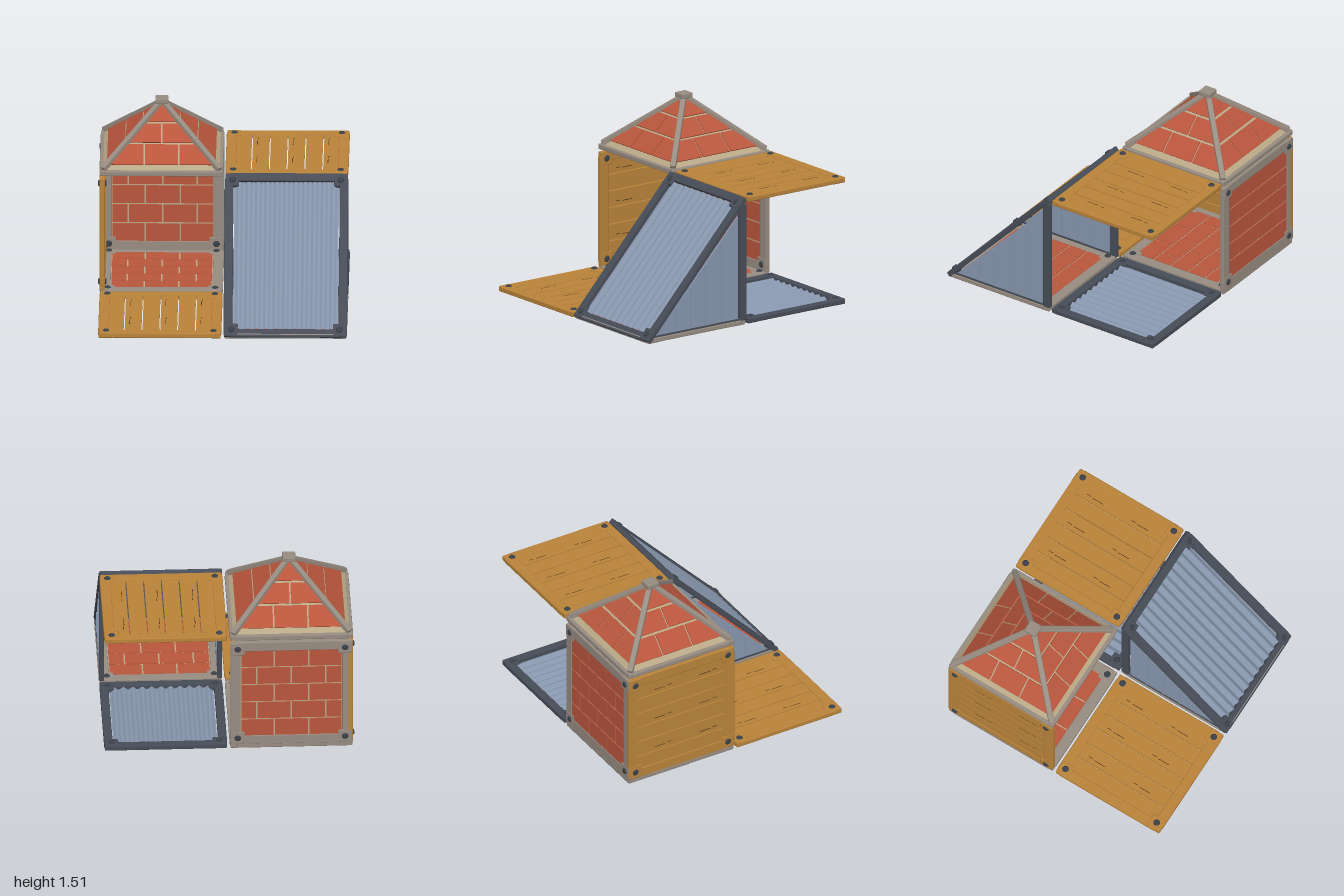
import * as THREE from 'three';
import { RoundedBoxGeometry } from 'three/addons/geometries/RoundedBoxGeometry.js';

const mat = (name, color, side = THREE.FrontSide) => {
  const m = new THREE.MeshStandardMaterial({ color, side });
  m.name = name;
  return m;
};

export function createModel() {
  const M = {
    wood: mat('wood', 0xb9833a),
    grain: mat('wood grain', 0x4a3218),
    stone: mat('stone frame', 0x978c81),
    mortar: mat('mortar', 0xb9a886),
    brick: mat('brick', 0xb9563d),
    frame: mat('dark metal frame', 0x464c57),
    sheet: mat('metal sheet', 0x8796ad, THREE.DoubleSide),
    bolt: mat('bolt', 0x3a4049),
  };
  const T = 0.045; // panel thickness

  const add = (parent, name, geo, material, x = 0, y = 0, z = 0) => {
    const m = new THREE.Mesh(geo, material);
    m.name = name;
    m.position.set(x, y, z);
    parent.add(m);
    return m;
  };
  const box = (parent, name, material, w, h, d, x, y, z) =>
    add(parent, name, new THREE.BoxGeometry(w, h, d), material, x, y, z);
  const soft = (parent, name, material, w, h, d, x, y, z) =>
    add(parent, name, new RoundedBoxGeometry(w, h, d, 1, 0.008), material, x, y, z);
  const newGroup = (name) => {
    const g = new THREE.Group();
    g.name = name;
    return g;
  };

  // Border of four rails with corner plates and bolts, lying in the XY plane
  const boltGeo = new THREE.CylinderGeometry(0.018, 0.028, T + 0.024, 8).rotateX(Math.PI / 2);
  boltGeo.scale(1, 1, 1);
  function border(g, material, w, h, rail, plate) {
    for (const s of [-1, 1]) {
      soft(g, 'rail', material, w - 0.09, rail, T - 0.004, 0, s * (h - rail) / 2, 0);
      soft(g, 'sideRail', material, rail, h - 0.09, T - 0.006, s * (w - rail) / 2, 0, 0);
      for (const t of [-1, 1]) {
        soft(g, 'cornerPlate', material, plate, plate, T, s * (w - plate - 0.008) / 2, t * (h - plate - 0.008) / 2, 0);
        for (const side of [-1, 1]) {
          const b = add(g, 'bolt', new THREE.CylinderGeometry(0.019, 0.029, 0.012, 10), M.bolt,
            s * (w / 2 - 0.062), t * (h / 2 - 0.062), side * (T / 2 + 0.004));
          b.rotation.x = side * Math.PI / 2;
        }
      }
    }
  }

  // Planks along Y inside a wooden border
  function woodPanel(name, w, h) {
    const g = newGroup(name);
    border(g, M.wood, w, h, 0.085, 0.115);
    const n = 6, pitch = (w - 0.13) / n;
    for (let i = 0; i < n; i++) {
      const x = (i - (n - 1) / 2) * pitch;
      box(g, 'plank', M.wood, pitch - 0.009, h - 0.1, 0.026, x, 0, 0);
      if (i % 2 === 0) continue;
      for (const y of [0.22, -0.2]) {
        box(g, 'grainMark', M.grain, 0.005, 0.1, 0.0275, x - 0.03, y, 0);
        box(g, 'grainMark', M.grain, 0.005, 0.04, 0.0275, x - 0.024, y + 0.09, 0);
      }
    }
    return g;
  }

  // Staggered bricks inside a stone border
  function brickPanel(name, w, h, twoSided) {
    const g = newGroup(name);
    border(g, M.stone, w, h, 0.085, 0.115);
    box(g, 'mortar', M.mortar, w - 0.1, h - 0.1, 0.018, 0, 0, 0);
    if (!twoSided) box(g, 'underside', M.mortar, w - 0.05, h - 0.05, 0.008, 0, 0, -0.02);
    const W = w - 0.17, H = h - 0.15, rows = 5, rh = H / rows, pitch = 0.275;
    for (let r = 0; r < rows; r++) {
      const cuts = (r % 2 ? [-1, 0, 1] : [-0.5, 0.5]).map((c) => c * pitch);
      const edges = [-W / 2, ...cuts, W / 2];
      for (let i = 0; i < edges.length - 1; i++) {
        const bw = edges[i + 1] - edges[i] - 0.012;
        const x = (edges[i] + edges[i + 1]) / 2, y = H / 2 - (r + 0.5) * rh;
        const d = twoSided ? 0.032 : 0.016;
        box(g, 'brick', M.brick, bw, rh - 0.012, d, x, y, twoSided ? 0 : 0.008);
      }
    }
    return g;
  }

  // Corrugated sheet with ridges along Y, inside a dark metal border
  function metalPanel(name, w, h) {
    const g = newGroup(name);
    border(g, M.frame, w, h, 0.07, 0.11);
    const sw = w - 0.15, geo = new THREE.PlaneGeometry(sw, h - 0.15, 132, 1);
    const p = geo.attributes.position;
    for (let i = 0; i < p.count; i++) {
      p.setZ(i, 0.011 * Math.cos((p.getX(i) / 0.075) * Math.PI * 2));
    }
    geo.computeVertexNormals();
    add(g, 'corrugatedSheet', geo, M.sheet);
    return g;
  }

  // Triangular sheet wall: local X runs from the post to the low end
  function triangleWall() {
    const g = newGroup('triangleWall');
    soft(g, 'post', M.frame, 0.065, 0.96, 0.04, 0.038, 0.52, 0);
    box(g, 'sill', M.frame, 0.86, 0.014, 0.03, 0.5, 0.053, 0);
    const s = new THREE.Shape([[0.085, 0.058], [0.9, 0.058], [0.085, 0.905]].map((q) => new THREE.Vector2(...q)));
    const geo = new THREE.ExtrudeGeometry(s, { depth: 0.014, bevelEnabled: false });
    add(g, 'triangleSheet', geo, M.sheet, 0, 0, -0.007);
    for (const x of [0.245, 0.4, 0.55, 0.7]) {
      const top = 0.905 - (x - 0.07) * 1.04;
      box(g, 'rib', M.sheet, 0.022, top - 0.07, 0.03, x, (top + 0.07) / 2, 0);
    }
    return g;
  }

  // Straight square bar between two points
  function beam(g, name, material, a, b, w) {
    const m = soft(g, name, material, w, w, a.distanceTo(b), 0, 0, 0);
    m.position.copy(a).add(b).multiplyScalar(0.5);
    m.lookAt(b);
  }

  // Pyramid roof with brick faces, stone ridges and a cap
  function roof() {
    const g = newGroup('pyramidRoof');
    const base = newGroup('roofBase');
    border(base, M.stone, 0.985, 0.985, 0.055, 0.075);
    box(base, 'ceiling', M.mortar, 0.94, 0.94, 0.01, 0, 0, -0.02);
    base.rotation.x = -Math.PI / 2;
    base.position.y = 1.032;
    g.add(base);

    const half = 0.465, y0 = 1.05, rise = 0.42, slope = Math.hypot(half, rise);
    const core = new THREE.ConeGeometry(half * Math.SQRT2, rise, 4, 1).rotateY(Math.PI / 4).toNonIndexed();
    core.computeVertexNormals();
    add(g, 'roofMortar', core, M.mortar, 0, y0 + rise / 2, 0);

    const rows = [
      [0.035, 0.157, [-0.137, 0.137]],
      [0.169, 0.283, [0]],
      [0.295, 0.395, []],
    ];
    for (let k = 0; k < 4; k++) {
      const turn = newGroup('roofSide');
      const face = newGroup('roofBricks');
      turn.rotation.y = k * Math.PI / 2;
      face.position.set(0, y0, half);
      face.rotation.x = -Math.atan2(half, rise);
      turn.add(face);
      g.add(turn);
      for (const [lo, hi, cuts] of rows) {
        const edge = (y) => Math.max(half * (1 - y / rise) - 0.02, 0.002);
        const n = cuts.length;
        for (let i = 0; i <= n; i++) {
          const left = (y) => (i === 0 ? -edge(y) : cuts[i - 1] + 0.006);
          const right = (y) => (i === n ? edge(y) : cuts[i] - 0.006);
          const pts = [[left(lo), lo], [right(lo), lo], [right(hi), hi], [left(hi), hi]];
          const s = new THREE.Shape(pts.map(([x, y]) => new THREE.Vector2(x, (y / rise) * slope)));
          add(face, 'roofBrick', new THREE.ExtrudeGeometry(s, { depth: 0.01, bevelEnabled: false }), M.brick);
        }
      }
      const sx = k % 2 ? 1 : -1, sz = k < 2 ? 1 : -1;
      beam(g, 'ridge', M.stone, new THREE.Vector3(sx * 0.465, 1.06, sz * 0.465), new THREE.Vector3(0, 1.475, 0), 0.046);
    }
    soft(g, 'cap', M.stone, 0.105, 0.042, 0.105, 0, 1.484, 0);
    return g;
  }

  const model = newGroup('shelter');
  const place = (g, x, y, z, rx = 0, ry = 0, rz = 0) => {
    g.position.set(x, y, z);
    g.rotation.set(rx, ry, rz);
    model.add(g);
  };
  const flat = -Math.PI / 2, q = Math.PI / 2;

  // Floors
  place(brickPanel('brickFloor', 0.98, 0.98, false), -0.5, 0.026, -0.5, flat);
  place(brickPanel('brickFloorUnderRamp', 0.98, 0.98, false), 0.5, 0.026, 0.5, flat);
  place(metalPanel('metalFloor', 0.98, 0.98), 0.5, 0.026, -0.5, flat);
  place(woodPanel('woodFloor', 0.98, 0.98), -0.5, 0.026, 0.5, flat);

  // Walls
  place(brickPanel('brickWall', 0.98, 0.955, true), -0.5, 0.515, -0.97);
  place(woodPanel('woodWall', 0.955, 0.98), -0.97, 0.515, -0.5, 0, q, q);

  // Roofs
  place(woodPanel('woodCeiling', 0.98, 0.98), 0.5, 1.03, -0.5, flat);
  place(roof(), -0.5, 0, -0.5);

  // Sloping metal panel with its triangular side walls
  place(metalPanel('metalRamp', 0.985, 1.42), 0.5, 0.53, 0.5, -Math.atan2(0.96, 1.02));
  for (const x of [0.03, 0.97]) place(triangleWall(), x, 0, 0, 0, -q);

  return model;
}
